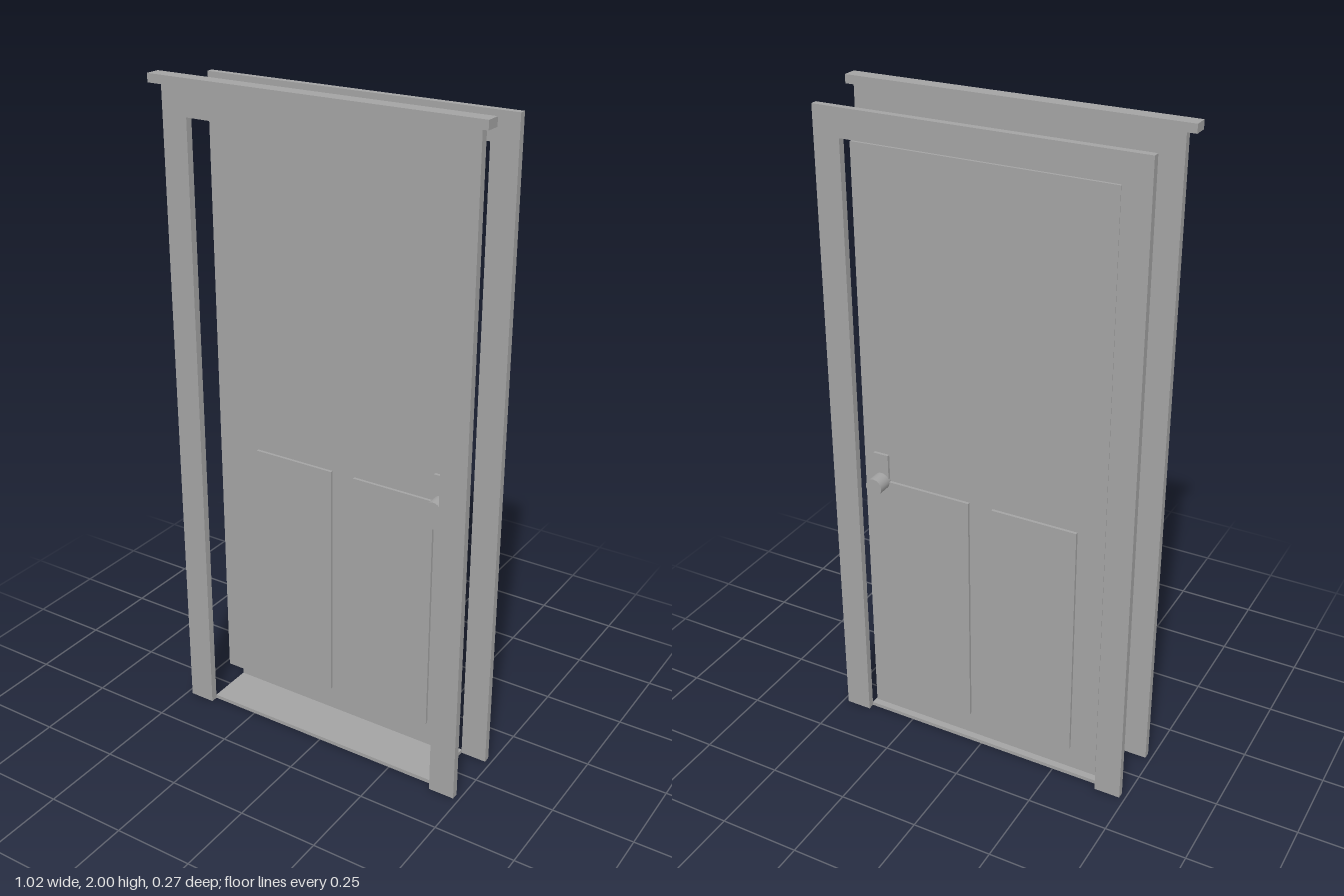
import * as THREE from 'three';

export function createModel() {
  const group = new THREE.Group();
  group.name = 'door';
  const paint = new THREE.MeshStandardMaterial({ color: 0xa3a3a3 });
  paint.name = 'grey';

  function add(name, geometry) {
    const mesh = new THREE.Mesh(geometry, paint);
    mesh.name = name;
    group.add(mesh);
    return mesh;
  }

  // Box given by its limits on each axis
  function box(name, x0, x1, y0, y1, z0, z1) {
    add(name, new THREE.BoxGeometry(x1 - x0, y1 - y0, z1 - z0))
      .position.set((x0 + x1) / 2, (y0 + y1) / 2, (z0 + z1) / 2);
  }

  // Casing: two legs and a lintel cut as one U-shaped board
  function casing(name, top, z0, z1) {
    const outline = [[-0.483, 0], [-0.402, 0], [-0.402, 1.89], [0.402, 1.89],
      [0.402, 0], [0.483, 0], [0.483, top], [-0.483, top]];
    const shape = new THREE.Shape(outline.map(([x, y]) => new THREE.Vector2(x, y)));
    add(name, new THREE.ExtrudeGeometry(shape, { depth: z1 - z0, bevelEnabled: false }))
      .position.z = z0;
  }

  casing('frontCasing', 1.975, 0.09, 0.112);
  casing('backCasing', 1.972, -0.112, -0.091);
  box('frontCap', -0.51, 0.51, 1.975, 2, 0.09, 0.135);
  box('threshold', -0.402, 0.402, 0, 0.012, -0.091, 0.09);

  // Door leaf
  const mid = -0.063;
  box('doorLeaf', -0.389, 0.389, 0.025, 1.877, mid - 0.02, mid + 0.02);

  // Raised panels, lock plate and knob on both faces
  for (const side of [-1, 1]) {
    const label = side > 0 ? 'front' : 'back';
    const inner = mid + side * 0.019, outer = mid + side * 0.029;
    const z0 = Math.min(inner, outer), z1 = Math.max(inner, outer);
    box(label + 'RightPanel', -0.305, -0.038, 0.103, 0.868, z0, z1);
    box(label + 'LeftPanel', 0.038, 0.305, 0.103, 0.868, z0, z1);
    box(label + 'LockPlate', 0.305, 0.354, 0.78, 0.955, z0, z1);

    const knob = add(label + 'Knob', new THREE.CylinderGeometry(0.0265, 0.0265, 0.056, 32));
    knob.rotation.x = Math.PI / 2;
    knob.position.set(0.329, 0.866, mid + side * 0.046);
  }

  return group;
}
